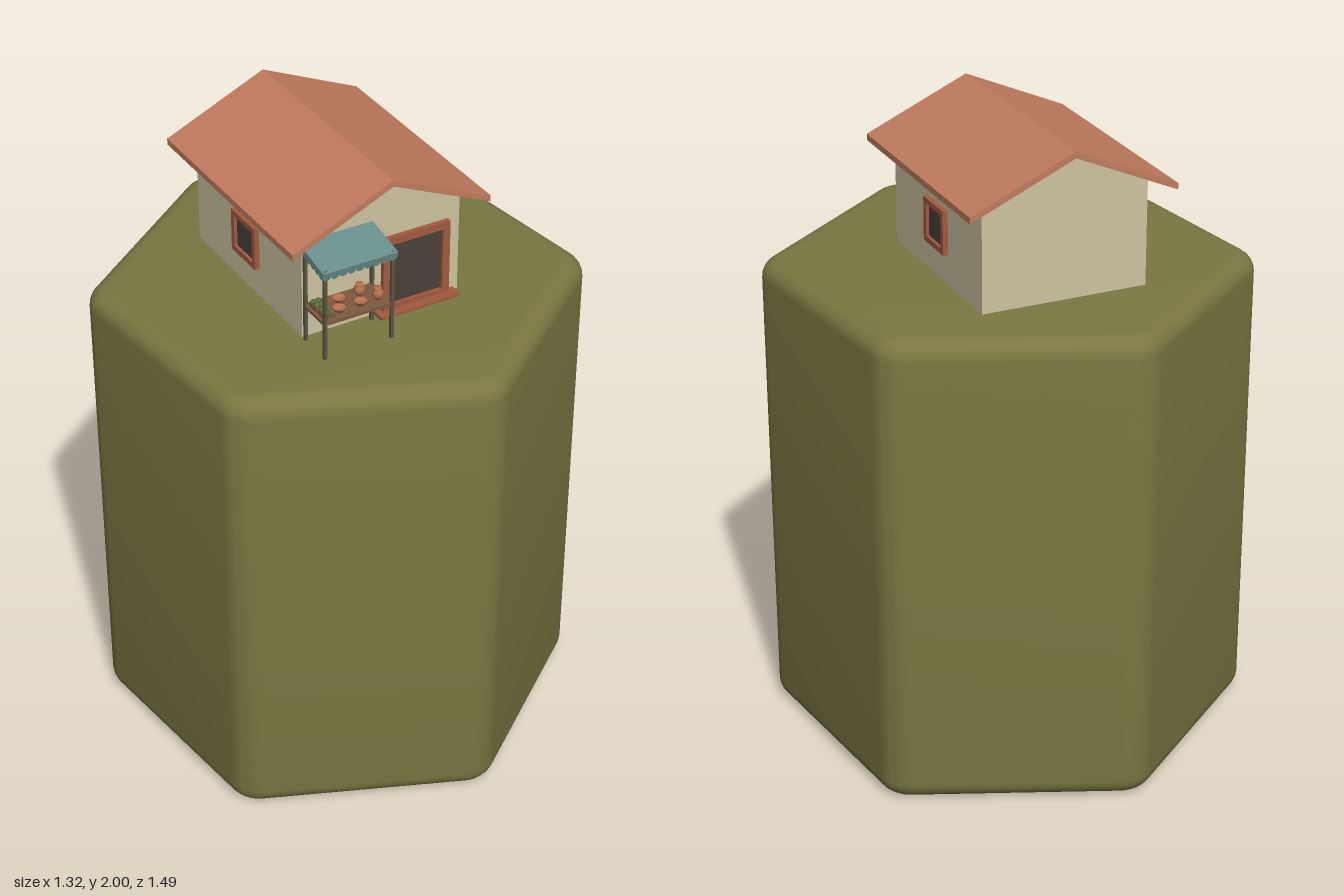
import * as THREE from 'three';
import { toCreasedNormals } from 'three/addons/utils/BufferGeometryUtils.js';

const mat = (name, color, side = THREE.FrontSide) => {
  const m = new THREE.MeshStandardMaterial({ color, side });
  m.name = name;
  return m;
};

export function createModel() {
  const M = {
    ground: mat('olive ground', 0x7a7742),
    wall: mat('cream plaster', 0xcfc4a2),
    roof: mat('terracotta roof', 0xc27c5f),
    frame: mat('red brown wood', 0xa35a41),
    dark: mat('dark panel', 0x4a4139),
    post: mat('dark post', 0x5a5642),
    cloth: mat('teal cloth', 0x6a908d, THREE.DoubleSide),
    table: mat('table wood', 0x7d5a3e),
    clay: mat('clay', 0xb9704f),
    green: mat('green goods', 0x5f6b3a),
  };
  const add = (parent, name, geo, material, x = 0, y = 0, z = 0) => {
    const m = new THREE.Mesh(geo, material);
    m.name = name;
    m.position.set(x, y, z);
    parent.add(m);
    return m;
  };
  const box = (parent, name, w, h, d, material, x, y, z) =>
    add(parent, name, new THREE.BoxGeometry(w, h, d), material, x, y, z);

  const model = new THREE.Group();
  model.name = 'houseOnHexTile';

  // Hexagonal block with rounded corners and edges
  const TOP = 1.525, APOTHEM = 0.66, CORNER = 0.11, BEVEL = 0.06;
  const hex = new THREE.Shape();
  const reach = (APOTHEM - CORNER) / Math.cos(Math.PI / 6);
  for (let i = 0; i < 6; i++) {
    const a = Math.PI / 2 + (i * Math.PI) / 3;
    hex.absarc(Math.cos(a) * reach, Math.sin(a) * reach, CORNER, a - Math.PI / 6, a + Math.PI / 6);
  }
  const block = new THREE.ExtrudeGeometry(hex, {
    depth: TOP - 2 * BEVEL, curveSegments: 6, bevelEnabled: true,
    bevelSize: BEVEL, bevelThickness: BEVEL, bevelOffset: -BEVEL, bevelSegments: 6,
  });
  block.rotateX(-Math.PI / 2).translate(0, BEVEL, 0);
  add(model, 'hexBlock', toCreasedNormals(block, 0.5), M.ground);

  // House: ridge along local x, door gable at +x
  const house = new THREE.Group();
  house.name = 'house';
  house.position.set(-0.054, TOP, -0.038);
  house.rotation.y = -0.65;
  model.add(house);

  const L = 0.636, W = 0.526, PEAK = 0.475, SLOPE = 0.145 / 0.328, THICK = 0.02;
  const alongRidge = (points, length) => {
    const g = new THREE.ExtrudeGeometry(new THREE.Shape(points.map(p => new THREE.Vector2(...p))),
      { depth: length, bevelEnabled: false });
    return g.translate(0, 0, -length / 2).rotateY(Math.PI / 2);
  };
  const wallTop = PEAK - THICK - (W / 2) * SLOPE;
  add(house, 'walls', alongRidge(
    [[-W / 2, 0], [W / 2, 0], [W / 2, wallTop], [0, PEAK - THICK], [-W / 2, wallTop]], L), M.wall);
  const half = 0.328, eave = PEAK - half * SLOPE;
  add(house, 'roof', alongRidge(
    [[-half, eave], [-half, eave - THICK], [0, PEAK - THICK], [half, eave - THICK], [half, eave], [0, PEAK]],
    0.765), M.roof);

  // Framed opening facing +z, centred on its own origin
  const framed = (name, w, h, border) => {
    const g = new THREE.Group();
    g.name = name;
    const outer = new THREE.Shape([[-1, -1], [1, -1], [1, 1], [-1, 1]]
      .map(([x, y]) => new THREE.Vector2((x * w) / 2, (y * h) / 2)));
    outer.holes.push(new THREE.Path([[-1, -1], [-1, 1], [1, 1], [1, -1]]
      .map(([x, y]) => new THREE.Vector2(x * (w / 2 - border), y * (h / 2 - border)))));
    add(g, name + 'Frame', new THREE.ExtrudeGeometry(outer, { depth: 0.016, bevelEnabled: false }), M.frame);
    box(g, name + 'Panel', w - border, h - border, 0.006, M.dark, 0, 0, 0.003);
    house.add(g);
    return g;
  };

  // Door and doorstep
  const door = framed('door', 0.225, 0.25, 0.024);
  door.position.set(L / 2, 0.127, -0.112);
  door.rotation.y = Math.PI / 2;
  box(house, 'doorstep', 0.045, 0.01, 0.27, M.frame, L / 2 + 0.02, 0.005, -0.112);

  // One window on each long wall
  for (const side of [1, -1]) {
    const win = framed('window', 0.143, 0.138, 0.018);
    win.position.set(-0.005, 0.163, (side * W) / 2);
    win.rotation.y = side > 0 ? 0 : Math.PI;
  }

  // Market stall beside the door
  const stall = new THREE.Group();
  stall.name = 'stall';
  stall.position.set(0.393, 0, 0.152);
  house.add(stall);
  for (const x of [-0.056, 0.056]) {
    for (const z of [-0.11, 0.11]) {
      const h = 0.305 - x * 0.2;
      box(stall, 'stallPost', 0.01, h, 0.01, M.post, x, h / 2, z);
    }
  }
  box(stall, 'stallTable', 0.122, 0.009, 0.23, M.table, 0, 0.118, 0);

  // Sloping awning with a scalloped edge
  const awning = new THREE.Group();
  awning.name = 'awning';
  awning.position.set(-0.003, 0.303, 0);
  awning.rotation.z = -0.2;
  stall.add(awning);
  box(awning, 'awningTop', 0.144, 0.006, 0.243, M.cloth, 0, 0, 0);
  const valance = (length, count) => {
    const s = new THREE.Shape(), r = length / count / 2;
    s.moveTo(length / 2, 0);
    s.lineTo(-length / 2, 0);
    s.lineTo(-length / 2, -0.012);
    for (let i = 0; i < count; i++) {
      s.absarc(-length / 2 + r * (2 * i + 1), -0.012, r, Math.PI, 2 * Math.PI);
    }
    return new THREE.ShapeGeometry(s, 5);
  };
  add(awning, 'frontValance', valance(0.243, 9), M.cloth, 0.072).rotation.y = Math.PI / 2;
  for (const z of [-0.121, 0.121]) add(awning, 'sideValance', valance(0.144, 6), M.cloth, 0, 0, z);

  // Goods on the table: pots, bowls and produce
  const lathe = pts => new THREE.LatheGeometry(pts.map(p => new THREE.Vector2(...p)), 12);
  const pot = lathe([[0, 0], [0.01, 0], [0.018, 0.012], [0.016, 0.024], [0.009, 0.031], [0.012, 0.037], [0, 0.035]]);
  const bowl = lathe([[0, 0], [0.01, 0], [0.022, 0.014], [0.019, 0.014], [0, 0.008]]);
  const Y = 0.1225;
  for (const [x, z] of [[0.02, -0.085], [-0.025, -0.05]]) add(stall, 'pot', pot, M.clay, x, Y, z);
  for (const [x, z] of [[0.025, -0.025], [-0.02, 0.02], [0.025, 0.045]]) {
    add(stall, 'bowl', bowl, M.clay, x, Y, z);
  }
  const fruit = new THREE.SphereGeometry(0.01, 10, 8);
  for (const x of [-0.025, 0.025]) {
    box(stall, 'produceTray', 0.04, 0.01, 0.035, M.table, x, Y + 0.005, 0.087);
    for (const dx of [-0.01, 0.01]) {
      for (const dz of [-0.008, 0.008]) add(stall, 'produce', fruit, M.green, x + dx, Y + 0.013, 0.087 + dz);
    }
  }
  return model;
}
